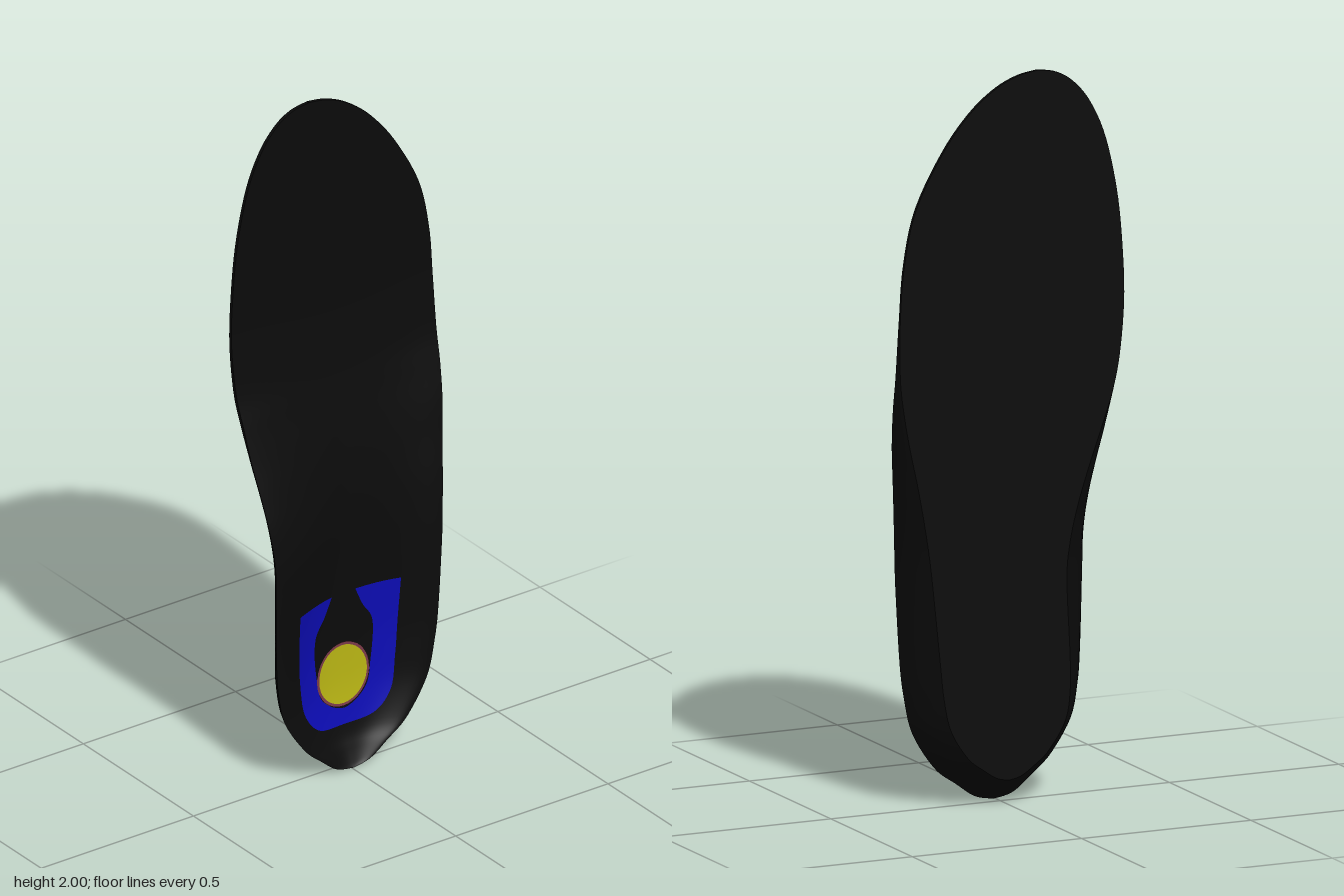
import * as THREE from 'three';
import { mergeGeometries, mergeVertices } from 'three/addons/utils/BufferGeometryUtils.js';

const BACK = -0.065, ROWS = 110, COLS = 40;

// Stations from heel to toe, three small tables sharing the same index
const Y = [0, .012, .05, .1, .2, .3, .4, .6, .7, .8, .9, 1, 1.1, 1.2, 1.35, 1.5, 1.65, 1.8, 1.9, 1.96, 1.99, 2];
const RIM_L = [.005, -.05, -.1, -.155, -.22, -.245, -.255, -.27, -.277, -.287, -.298, -.31, -.318, -.327, -.335, -.33, -.314, -.28, -.235, -.185, -.135, -.08];
const RIM_R = [.005, .06, .115, .18, .245, .27, .283, .295, .3, .306, .315, .324, .33, .331, .326, .314, .28, .2, .12, .045, -.022, -.08];
const RIM_ZL = [.03, .03, .03, .03, .031, .034, .039, .058, .065, .056, .032, .004, -.022, -.045, -.055];
const RIM_ZR = [.03, .03, .03, .03, .03, .03, .03, .03, .026, .018, .005, -.008, -.027, -.046, -.055];
const FLOOR = [.03, .022, .006, -.01, -.024, -.029, -.029, -.02, -.015, -.014, -.018, -.028, -.04, -.05, -.055];
// Outline of the flat underside, narrower than the rim from heel to arch
const SOLE_L = [.005, -.03, -.07, -.112, -.162, -.176, -.175, -.166, -.175, -.198, -.23, -.266, -.3, -.322];
const SOLE_R = [.005, .04, .08, .125, .175, .196, .207, .228, .24, .256, .275, .297, .315, .326];
// Softness of the arch ramp: low is a long ramp, high is a steep cup wall
const RAMP = [2, 2, 2.2, 2.5, 2.8, 2.6, 2.2, 1.5, 1.3, 1.3, 1.4, 1.6, 2, 2, 2];

// Catmull-Rom lookup; a short table continues with its fallback
function at(table, s, fallback) {
  const get = k => {
    k = Math.min(Math.max(k, 0), Y.length - 1);
    return k < table.length ? table[k] : fallback ? fallback[k] : table[table.length - 1];
  };
  const k = Math.min(Math.floor(s), Y.length - 2), t = s - k;
  const [a, b, c, d] = [get(k - 1), get(k), get(k + 1), get(k + 2)];
  return b + 0.5 * t * (c - a + t * (2 * a - 5 * b + 4 * c - d + t * (3 * (b - c) + d - a)));
}

// Footbed point at station s, u from -1 (arch side) to 1
function footbed(s, u) {
  const l = at(RIM_L, s), r = at(RIM_R, s), floor = at(FLOOR, s);
  const p = u < 0 ? at(RAMP, s) : 2.8;
  const rim = at(u < 0 ? RIM_ZL : RIM_ZR, s);
  const rise = Math.sin(Math.PI / 2 * Math.abs(u) ** p);
  return [l + (r - l) * (u + 1) / 2, at(Y, s), floor + (rim - floor) * rise];
}

// Underside point at station s, u from -1 to 1
function sole(s, u) {
  const l = at(SOLE_L, s, RIM_L), r = at(SOLE_R, s, RIM_R), y = at(Y, s);
  return [l + (r - l) * (u + 1) / 2, y + 0.07 * Math.max(0, 1 - y / 0.4) ** 2, BACK];
}

// Side wall between underside and rim, slightly bulged
function wall(s, side, t) {
  const a = sole(s, side), b = footbed(s, side);
  const bulge = 0.08 * (b[2] - a[2]) * Math.sin(Math.PI * t);
  const p = a.map((v, i) => v + (b[i] - v) * t);
  p[0] += side * bulge * Math.min(1, s / 3);
  return p;
}

// Grid surface from a point rule of (row, column), both 0..1
function grid(rows, cols, rule) {
  const pos = [], index = [];
  for (let i = 0; i <= rows; i++) {
    for (let j = 0; j <= cols; j++) {
      pos.push(...rule(i / rows, j / cols));
      if (i < rows && j < cols) {
        const a = i * (cols + 1) + j, c = a + cols + 1;
        index.push(a, a + 1, c, a + 1, c + 1, c);
      }
    }
  }
  const g = new THREE.BufferGeometry();
  g.setAttribute('position', new THREE.Float32BufferAttribute(pos, 3));
  g.setIndex(index);
  return g;
}

// Lays a flat (x, y) point just above the footbed
function drape(x, y, lift) {
  let lo = 0, hi = Y.length - 1;
  for (let k = 0; k < 30; k++) {
    const mid = (lo + hi) / 2;
    if (at(Y, mid) < y) lo = mid; else hi = mid;
  }
  const l = at(RIM_L, lo), r = at(RIM_R, lo);
  return [x, y, footbed(lo, 2 * (x - l) / (r - l) - 1)[2] + lift];
}

export function createModel() {
  const group = new THREE.Group();
  const add = (name, geometry, color) => {
    const g = mergeVertices(geometry, 1e-5);
    g.computeVertexNormals();
    const mesh = new THREE.Mesh(g, new THREE.MeshStandardMaterial({ color, side: THREE.DoubleSide }));
    mesh.name = name;
    group.add(mesh);
  };
  const end = Y.length - 1, black = 0x0b0b0b;

  // Body of the insole
  add('footbed', grid(ROWS, COLS, (i, j) => footbed(i * end, 2 * j - 1)), black);
  add('underside', grid(ROWS, 8, (i, j) => sole(i * end, 1 - 2 * j)), black);
  add('sideWall', mergeGeometries([
    grid(ROWS, 6, (i, j) => wall(i * end, -1, j)),
    grid(ROWS, 6, (i, j) => wall(i * end, 1, 1 - j)),
  ]), black);

  // Horseshoe heel cushion: strip between an outer and an inner outline
  const curve = half => {
    const mirrored = half.slice(0, -1).reverse().map(([x, y]) => [-x, y]);
    return new THREE.CatmullRomCurve3([...half, ...mirrored].map(([x, y]) => new THREE.Vector3(x, y, 0)));
  };
  const outer = curve([[-.175, .505], [-.168, .4], [-.158, .28], [-.14, .18], [-.09, .125], [0, .115]]);
  const inner = curve([[-.04, .505], [-.065, .45], [-.095, .4], [-.09, .28], [-.07, .2], [0, .16]]);
  add('horseshoeCushion', grid(64, 8, (i, j) => {
    const p = outer.getPoint(i).lerp(inner.getPoint(i), j);
    return drape(p.x + 0.008, p.y, 0.002);
  }), 0x0c0cb4);

  // Round heel pad with a thin darker edge
  const disc = (r0, r1, lift) => grid(40, 8, (i, j) => {
    const a = i * Math.PI * 2, r = r1 + (r0 - r1) * (1 - j);
    return drape(0.006 + r * Math.cos(a), 0.26 + 1.08 * r * Math.sin(a), lift);
  });
  // Columns run outward, so reverse the winding to face front
  const flip = g => {
    g.setIndex([...g.index.array].reverse());
    return g;
  };
  const facing = g => {
    g.computeVertexNormals();
    return g.attributes.normal.getZ(13) < 0 ? flip(g) : g;
  };
  add('heelPad', facing(disc(0, 0.079, 0.004)), 0xb8b414);
  add('heelPadEdge', facing(disc(0.077, 0.087, 0.0035)), 0x7a3a48);

  return group;
}
